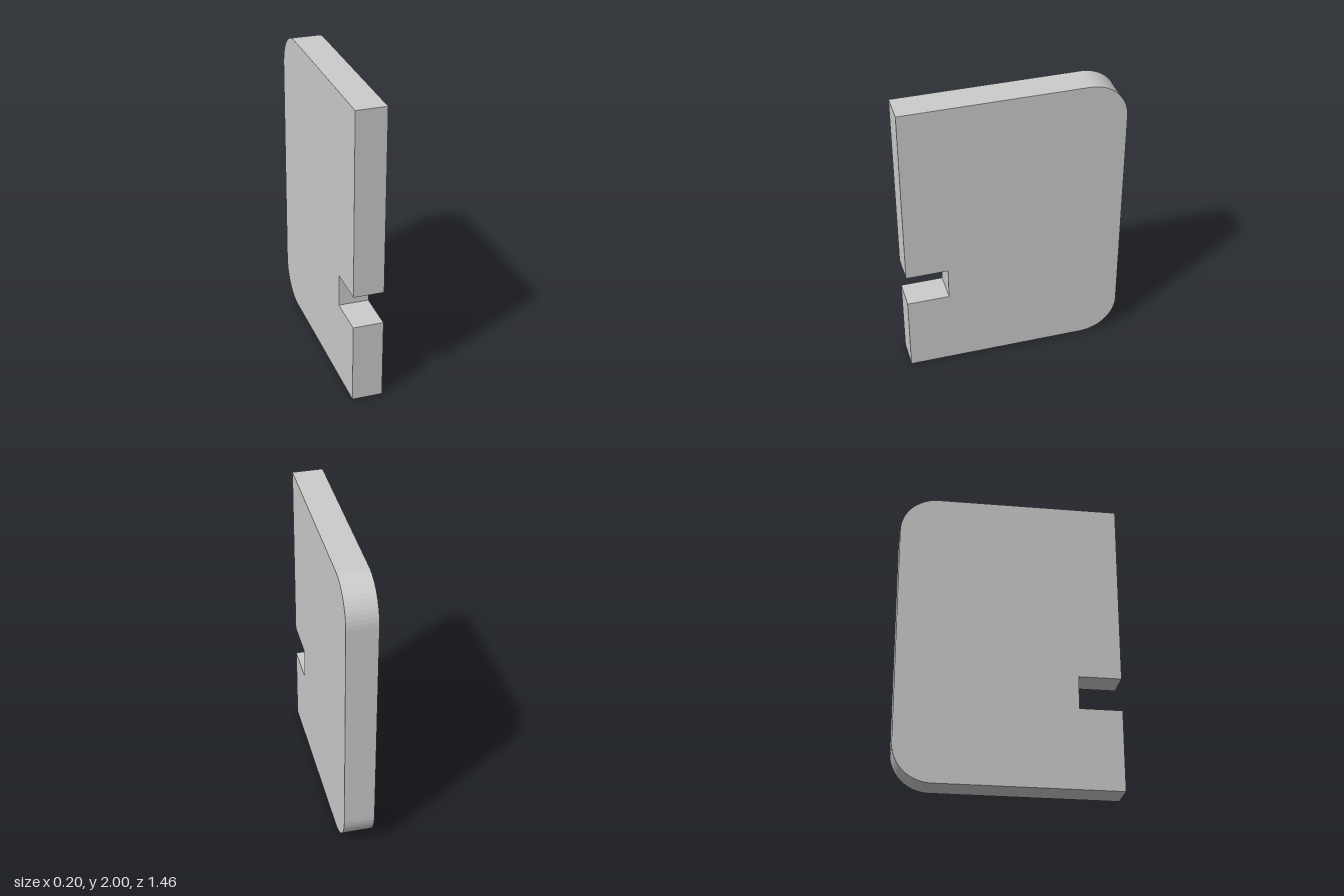
import * as THREE from 'three';

const THICKNESS = 0.2, EDGE = 0.73, RADIUS = 0.25;

// Points of one rounded back corner, from angle a0 to a1 in degrees
function arc(cy, a0, a1) {
  const n = Math.max(2, Math.ceil(Math.abs(a1 - a0) / 7.5));
  return Array.from({ length: n + 1 }, (_, i) => {
    const a = THREE.MathUtils.degToRad(a0 + (a1 - a0) * i / n);
    return [EDGE - RADIUS + RADIUS * Math.cos(a), cy + RADIUS * Math.sin(a)];
  });
}

export function createModel() {
  const group = new THREE.Group();
  group.name = 'crackedSlab';
  const material = new THREE.MeshStandardMaterial({ color: 0xcccccc, flatShading: true });

  // Crack junctions on the broad face: [towards the back, up]
  const a = [-0.32, 1.78], b = [-0.19, 1.59], c = [-0.08, 1.51], d = [0.155, 1.21];
  const e = [0.205, 1.2], f = [0.35, 1.13], g = [0.66, 0.88], h = [0.63, 0.78];
  const i = [0.58, 0.7], j = [0.01, 0.13], k = [-0.05, 0.18], l = [-0.27, 0.73];
  const m = [-0.36, 0.98], n = [-0.33, 1.01], o = [-0.61, 0.97], p = [-0.66, 0.76];
  const q = [0.06, 0.09], r = [0.47, 0.045], s = [0.58, 0.345];
  const v = [0.52, 1.86], w = [0.5, 1.93];

  // Crack ends on the rim
  const frontHigh = [-EDGE, 1.82], frontMid = [-EDGE, 1.01];
  const topFront = [-0.2, 2], topBack = [0.46, 2];
  const backHigh = [EDGE, 1.38], backLow = [EDGE, 0.88];
  const base1 = [-0.66, 0], base2 = [-0.35, 0], base3 = [-0.11, 0], base4 = [0.12, 0];

  // Rectangular notch in the front edge
  const notch = [[-0.45, 0.76], [-0.45, 0.54], [-EDGE, 0.54]];

  const shards = {
    topFrontShard: [frontHigh, a, topFront, [-EDGE, 2]],
    topMiddleShard: [topFront, a, b, c, topBack],
    upperFrontShard: [frontMid, o, m, n, b, a, frontHigh],
    upperMiddleShard: [n, d, c, b],
    upperWedgeShard: [c, d, e, v, w, topBack],
    upperBackShard: [v, e, f, backHigh, ...arc(1.75, 0, 21)],
    topCornerShard: [topBack, w, v, ...arc(1.75, 21, 90)],
    middleBackShard: [f, g, backLow, backHigh],
    centreShard: [n, m, l, k, j, i, h, g, f, e, d],
    aboveNotchShard: [frontMid, [-EDGE, 0.76], p, o],
    notchShard: [o, p, ...notch, [-EDGE, 0], base1, l, m],
    lowerFrontShard: [l, base1, base2, k],
    baseFrontShard: [k, base2, base3, j],
    baseMiddleShard: [j, base3, base4, q],
    lowerMiddleShard: [j, q, r, s, i],
    lowerBackShard: [i, s, ...arc(0.25, -40, 0), backLow, g, h],
    baseBackShard: [q, base4, ...arc(0.25, -90, -78), r],
    bottomCornerShard: [s, r, ...arc(0.25, -78, -40)],
  };

  // Each shard runs through the full thickness and meets its neighbours flush
  for (const [name, outline] of Object.entries(shards)) {
    const shape = new THREE.Shape(outline.map(([x, y]) => new THREE.Vector2(x, y)));
    const geometry = new THREE.ExtrudeGeometry(shape, { depth: THICKNESS, bevelEnabled: false });
    geometry.translate(0, 0, -THICKNESS / 2);
    geometry.rotateY(Math.PI / 2);
    const mesh = new THREE.Mesh(geometry, material);
    mesh.name = name;
    group.add(mesh);
  }
  return group;
}
